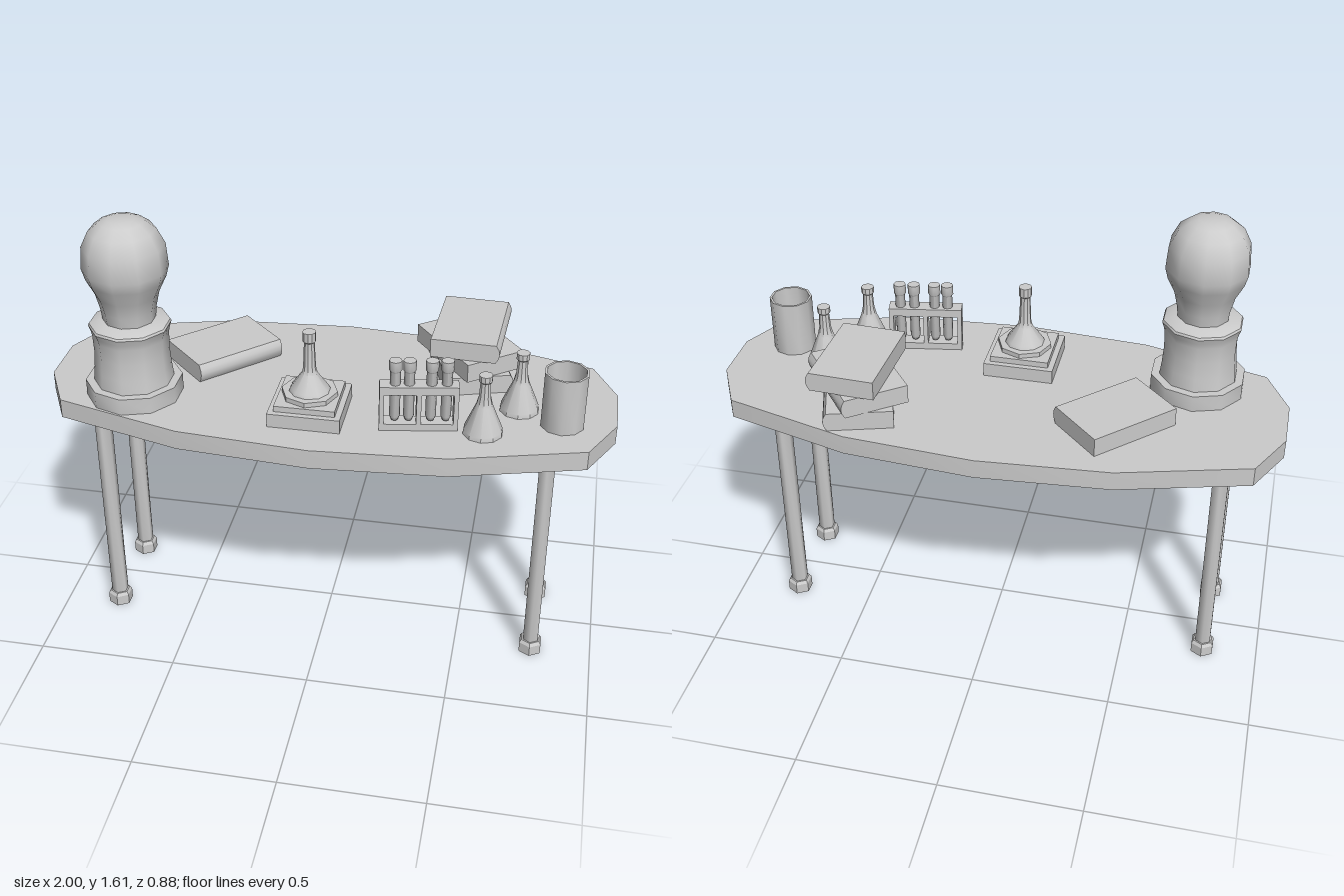
import * as THREE from 'three';
import { toCreasedNormals } from 'three/addons/utils/BufferGeometryUtils.js';

const TOP = 0.95; // height of the table surface
const material = new THREE.MeshStandardMaterial({ color: 0xcccccc });

function add(parent, name, geometry, x = 0, y = 0, z = 0, crease = 0.7) {
  const mesh = new THREE.Mesh(toCreasedNormals(geometry, crease), material);
  mesh.name = name;
  mesh.position.set(x, y, z);
  parent.add(mesh);
  return mesh;
}

function group(parent, name, x, y, z, turn = 0) {
  const g = new THREE.Group();
  g.name = name;
  g.position.set(x, y, z);
  g.rotation.y = turn;
  parent.add(g);
  return g;
}

// Turned shape from [radius, height] pairs, listed bottom to top
function lathe(points, sides) {
  return new THREE.LatheGeometry(points.map(([r, y]) => new THREE.Vector2(r, y)), sides);
}

const box = (w, h, d) => new THREE.BoxGeometry(w, h, d);

function tableTop(parent) {
  const quarter = [[1, 0.1], [0.91, 0.28], [0.46, 0.405], [0, 0.44]];
  const half = [...quarter, ...quarter.slice(0, 3).reverse().map(([x, z]) => [-x, z])];
  const outline = [...half, ...half.map(([x, z]) => [-x, -z])];
  const shape = new THREE.Shape(outline.map(([x, z]) => new THREE.Vector2(x, z)));
  const geometry = new THREE.ExtrudeGeometry(shape, { depth: 0.07, bevelEnabled: false });
  geometry.rotateX(-Math.PI / 2);
  add(parent, 'tableTop', geometry, 0, TOP - 0.07, 0, 0.2);
}

function leg(parent, x, z) {
  const g = group(parent, 'leg', x, 0, z);
  add(g, 'legPost', lathe([[0.031, 0.04], [0.031, 0.885]], 6), 0, 0, 0, 1.1);
  add(g, 'legFoot', lathe([[0, 0], [0.045, 0], [0.045, 0.04], [0.037, 0.052], [0, 0.052]], 6), 0, 0, 0, 0.5);
}

// Glass globe on a waisted pedestal
function globeLamp(parent) {
  const g = group(parent, 'globeLamp', -0.67, TOP, 0.172);
  add(g, 'lampBase', lathe([[0, 0], [0.168, 0], [0.168, 0.06], [0, 0.06]], 10));
  add(g, 'lampPedestal', lathe([[0.14, 0.05], [0.133, 0.11], [0.129, 0.17], [0.131, 0.23], [0.135, 0.25],
    [0.142, 0.27], [0.138, 0.278], [0.1, 0.292], [0, 0.292]], 10));
  add(g, 'lampGlobe', lathe([[0.09, 0.285], [0.095, 0.33], [0.108, 0.385], [0.135, 0.44], [0.146, 0.48],
    [0.14, 0.56], [0.113, 0.615], [0.075, 0.645], [0.045, 0.655], [0, 0.656]], 10), 0, 0, 0, 0.8);
}

// Closed book: flat block with a rounded spine along its +x edge
function book(parent, x, y, z, turn) {
  const g = group(parent, 'book', x, y, z, turn);
  const w = 0.12, h = 0.068;
  const shape = new THREE.Shape();
  shape.moveTo(-w, 0);
  shape.lineTo(w - 0.012, 0);
  shape.quadraticCurveTo(w + 0.014, h / 2, w - 0.012, h);
  shape.lineTo(-w, h);
  const geometry = new THREE.ExtrudeGeometry(shape, { depth: 0.34, bevelEnabled: false, curveSegments: 4 });
  add(g, 'bookBody', geometry, 0, 0, -0.17);
}

function flask(parent, name, x, y, z, profile) {
  add(parent, name, lathe(profile, 10), x, y, z, 0.6);
}

// Stepped stand holding the tall flask
function flaskStand(parent) {
  const g = group(parent, 'flaskStand', -0.04, TOP, 0.195);
  add(g, 'standPlate', box(0.25, 0.05, 0.25), 0, 0.025, 0);
  add(g, 'standStep', box(0.21, 0.022, 0.21), 0, 0.06, 0);
  add(g, 'standDisc', lathe([[0, 0.07], [0.097, 0.07], [0.097, 0.088], [0, 0.088]], 8));
  flask(g, 'tallFlask', 0, 0.086, 0, [[0.072, 0], [0.066, 0.014], [0.027, 0.068], [0.022, 0.09], [0.018, 0.185],
    [0.023, 0.19], [0.023, 0.224], [0, 0.224]]);
}

// Rack with four stoppered tubes
function testTubeRack(parent) {
  const g = group(parent, 'testTubeRack', 0.337, TOP, 0.225, 0.17);
  add(g, 'rackBottom', box(0.265, 0.025, 0.055), 0, 0.0125, 0);
  add(g, 'rackTop', box(0.265, 0.03, 0.055), 0, 0.152, 0);
  for (const x of [-0.1245, 0, 0.1245]) add(g, 'rackPost', box(0.016, 0.12, 0.055), x, 0.08, 0);
  for (const x of [-0.08, -0.033, 0.041, 0.092]) {
    add(g, 'testTube', lathe([[0, 0.026], [0.012, 0.03], [0.018, 0.045], [0.018, 0.215], [0.022, 0.22],
      [0.022, 0.256], [0, 0.256]], 8), x, 0, 0, 0.9);
  }
}

export function createModel() {
  const model = new THREE.Group();
  model.name = 'laboratoryTable';

  tableTop(model);
  for (const x of [-0.8, 0.78]) for (const z of [0.178, -0.153]) leg(model, x, z);

  globeLamp(model);
  flaskStand(model);
  testTubeRack(model);

  // Single book and the stack of three
  book(model, -0.42, TOP, -0.125, -0.785);
  book(model, 0.47, TOP, -0.19, 0.3);
  book(model, 0.47, TOP + 0.067, -0.19, 0.66);
  book(model, 0.47, TOP + 0.135, -0.187, -0.045);

  // Small conical flasks
  const cone = [[0, 0], [0.069, 0], [0.067, 0.015], [0.028, 0.11], [0.021, 0.14], [0.018, 0.195],
    [0.023, 0.2], [0.023, 0.222], [0, 0.222]];
  flask(model, 'smallFlask', 0.555, TOP, 0.222, cone);
  flask(model, 'smallFlask', 0.665, TOP, 0.05, cone);

  // Open beaker with a thin wall
  add(model, 'beaker', lathe([[0, 0], [0.076, 0], [0.076, 0.205], [0.068, 0.205], [0.068, 0.012], [0, 0.012]], 10),
    0.815, TOP, 0.12);

  return model;
}
